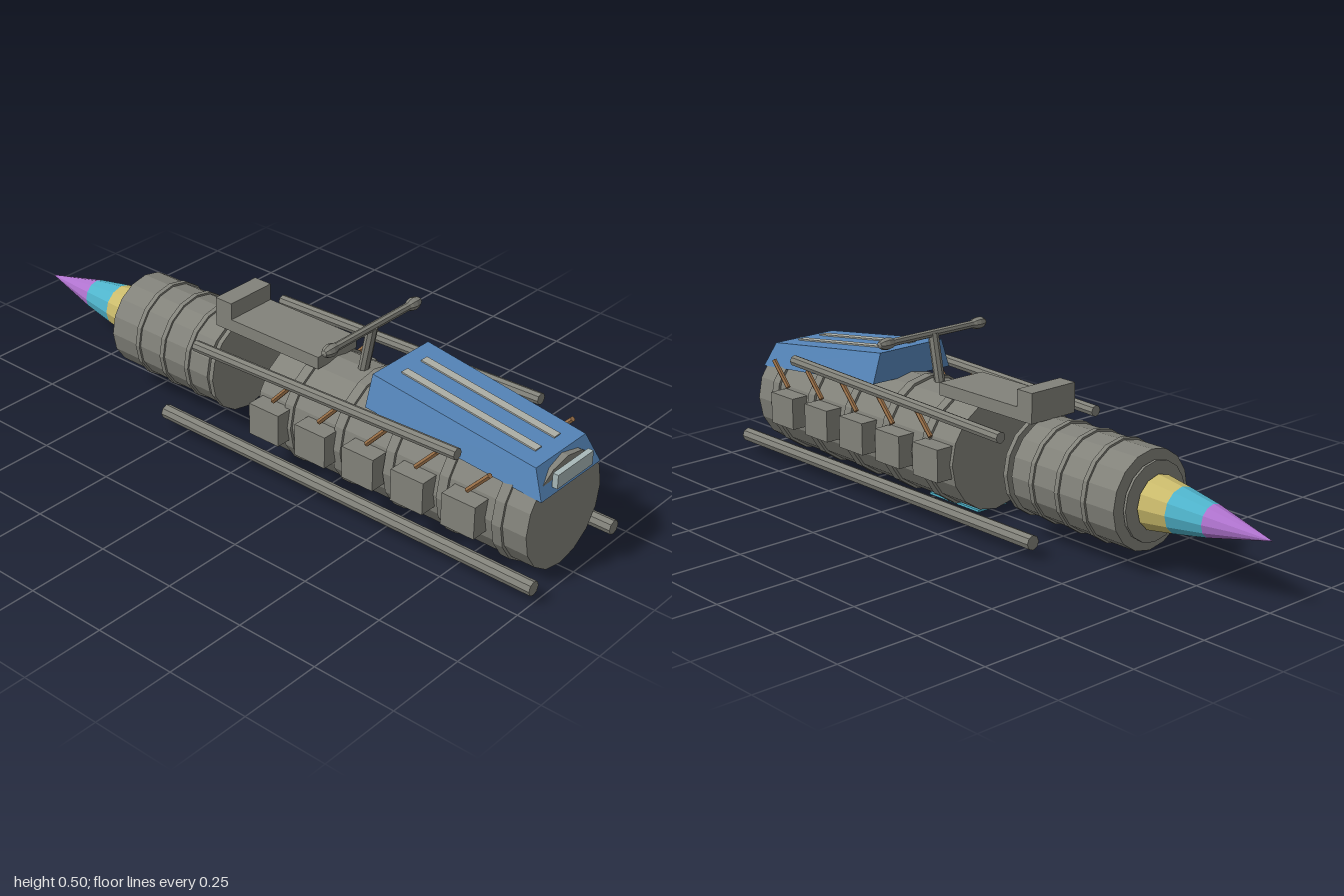
import * as THREE from 'three';

const mat = (name, color) => {
  const m = new THREE.MeshStandardMaterial({ color, flatShading: true });
  m.name = name;
  return m;
};

export function createModel() {
  const root = new THREE.Group();
  root.name = 'drillVehicle';
  const grey = mat('hull grey', 0x82827a);
  const blue = mat('canopy blue', 0x5585b9);
  const stripe = mat('stripe grey', 0xaeb0a8);
  const pale = mat('lamp pale', 0xa9b9b9);
  const copper = mat('strut copper', 0x9a7048);
  const yellow = mat('yellow', 0xcbbb6c);
  const cyan = mat('cyan', 0x4fb4cc);
  const purple = mat('purple', 0xb073cf);

  const add = (name, geo, material, x = 0, y = 0, z = 0) => {
    const m = new THREE.Mesh(geo, material);
    m.name = name;
    m.position.set(x, y, z);
    root.add(m);
    return m;
  };
  const box = (name, material, x0, x1, y0, y1, z0, z1) =>
    add(name, new THREE.BoxGeometry(x1 - x0, y1 - y0, z1 - z0), material,
      (x0 + x1) / 2, (y0 + y1) / 2, (z0 + z1) / 2);
  // Round part along x, radius r0 at x0 and r1 at x1
  const drum = (name, material, x0, x1, y, r0, r1 = r0, sides = 16) =>
    add(name, new THREE.CylinderGeometry(r1, r0, x1 - x0, sides).rotateZ(-Math.PI / 2),
      material, (x0 + x1) / 2, y, 0);
  // Round bar between two points
  const bar = (name, material, a, b, r, sides = 8) => {
    const p = new THREE.Vector3(...a), q = new THREE.Vector3(...b);
    const d = q.clone().sub(p);
    const m = add(name, new THREE.CylinderGeometry(r, r, d.length(), sides), material,
      ...p.clone().add(q).multiplyScalar(0.5).toArray());
    m.quaternion.setFromUnitVectors(new THREE.Vector3(0, 1, 0), d.normalize());
    return m;
  };

  // Main hull with raised bands
  const hullY = 0.178;
  drum('mainHull', grey, 0.03, 0.955, hullY, 0.168);
  for (let i = 0; i < 5; i++) {
    const x = 0.146 + i * 0.18;
    drum('hullBand', grey, x - 0.015, x + 0.015, hullY, 0.176);
  }

  // Drill section hull with bands and a thin collar plate
  const drillY = 0.197;
  drum('drillHull', grey, -0.58, -0.19, drillY, 0.143);
  for (let i = 0; i < 4; i++) {
    const x = -0.565 + i * 0.1;
    drum('drillBand', grey, x + 0.095 - 0.0075, x + 0.095 + 0.0075, drillY, 0.149);
  }
  drum('collarPlate', grey, -0.597, -0.589, drillY, 0.115);

  // Drill cone in three coloured sections
  drum('drillBase', yellow, -0.69, -0.605, drillY, 0.066, 0.079, 12);
  drum('drillMiddle', cyan, -0.8, -0.69, drillY, 0.047, 0.066, 12);
  drum('drillTip', purple, -1, -0.8, drillY, 0, 0.047, 12);

  // Deck bridging the two hulls, with raised end block
  box('deck', grey, -0.205, 0.18, 0.338, 0.376, -0.083, 0.083);
  box('deckBlock', grey, -0.206, -0.146, 0.345, 0.427, -0.083, 0.083);

  // Canopy: a box with its corners moved to a tapered wedge
  const canopyGeo = new THREE.BoxGeometry(1, 1, 1);
  const corner = {
    backTop: [0.403, 0.425, 0.119], backLow: [0.403, 0.335, 0.148],
    frontTop: [0.932, 0.351, 0.111], frontLow: [0.97, 0.273, 0.133],
  };
  const pos = canopyGeo.attributes.position;
  for (let i = 0; i < pos.count; i++) {
    const c = corner[(pos.getX(i) > 0 ? 'front' : 'back') + (pos.getY(i) > 0 ? 'Top' : 'Low')];
    pos.setXYZ(i, c[0], c[1], c[2] * Math.sign(pos.getZ(i)));
  }
  canopyGeo.computeVertexNormals();
  add('canopy', canopyGeo, blue);
  box('frontLamp', pale, 0.963, 0.98, 0.292, 0.334, -0.079, 0.079);

  // Belly hatch
  box('bellyHatch', cyan, 0.045, 0.26, 0.007, 0.014, -0.055, 0.055);

  // Mast with crossbar
  bar('mast', grey, [0.273, 0.33, 0], [0.303, 0.484, 0], 0.016);
  bar('crossbar', grey, [0.303, 0.484, -0.18], [0.303, 0.484, 0.18], 0.012);

  for (const s of [1, -1]) {
    // Canopy stripes
    add('canopyStripe', new THREE.BoxGeometry(0.445, 0.006, 0.026), stripe, 0.67, 0.389, s * 0.042)
      .rotation.z = -0.139;

    // Crossbar end pods
    add('crossbarPod', new THREE.SphereGeometry(1, 8, 6).rotateX(Math.PI / 2).scale(0.019, 0.019, 0.031),
      grey, 0.303, 0.484, s * 0.176);

    // Skid and upper rail
    bar('skid', grey, [-0.32, 0.049, s * 0.184], [1, 0.049, s * 0.184], 0.0215);
    bar('upperRail', grey, [-0.19, 0.318, s * 0.184], [0.74, 0.346, s * 0.184], 0.017);

    // Side boxes and diagonal struts
    for (let i = 0; i < 5; i++) {
      const x = 0.041 + i * 0.169;
      box('sideBox', grey, x, x + 0.108, 0.135, 0.233, ...(s > 0 ? [0.12, 0.214] : [-0.214, -0.12]));
      const sx = 0.104 + i * 0.168;
      bar('strut', copper, [sx, 0.252, s * 0.184], [sx + 0.068, 0.326, s * 0.184], 0.008, 6);
    }
  }
  return root;
}
